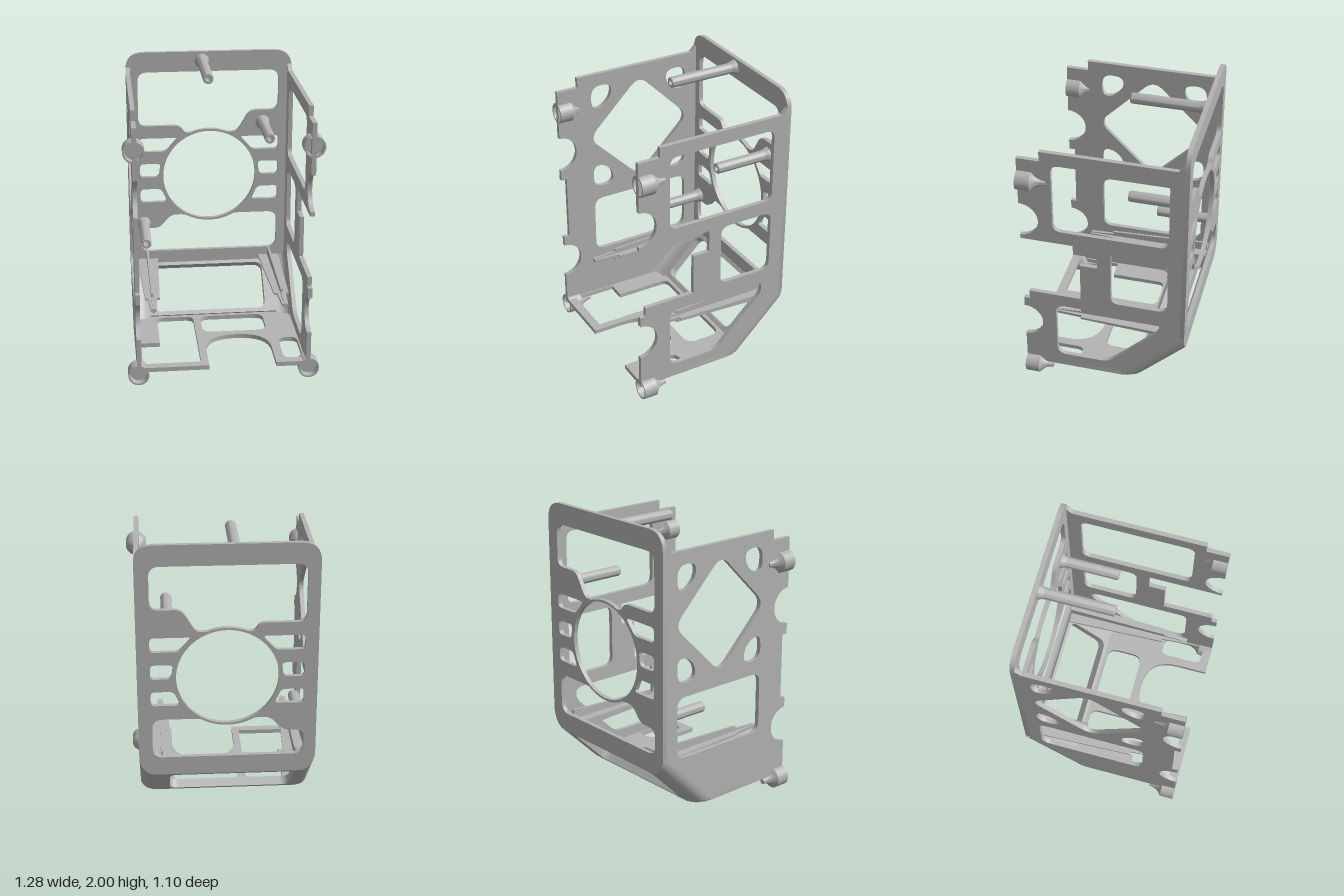
import * as THREE from 'three';
import { toCreasedNormals } from 'three/addons/utils/BufferGeometryUtils.js';

const grey = new THREE.MeshStandardMaterial({ color: 0xb3b3b3, side: THREE.DoubleSide });
grey.name = 'plain grey';

// Points are [x, y, corner length]; corners without a length stay sharp.
function rounded(path, pts) {
  const n = pts.length;
  pts.forEach(([x, y, r = 0], i) => {
    const toward = ([px, py]) => {
      const d = Math.hypot(px - x, py - y) || 1;
      const k = Math.min(r / d, 0.5);
      return [x + (px - x) * k, y + (py - y) * k];
    };
    const a = toward(pts[(i + n - 1) % n]);
    const b = toward(pts[(i + 1) % n]);
    if (i === 0) path.moveTo(...a); else path.lineTo(...a);
    if (r) path.quadraticCurveTo(x, y, ...b);
  });
  path.closePath();
  return path;
}

const arc = (cx, cy, r, from, to, n = 20) => Array.from({ length: n + 1 }, (_, i) => {
  const a = THREE.MathUtils.degToRad(from + (to - from) * i / n);
  return [cx + r * Math.cos(a), cy + r * Math.sin(a)];
});
const rect = (x0, y0, x1, y1, r) => [[x0, y0, r], [x1, y0, r], [x1, y1, r], [x0, y1, r]];

function plate(outline, holes, depth) {
  const shape = rounded(new THREE.Shape(), outline);
  holes.forEach(h => shape.holes.push(rounded(new THREE.Path(), h)));
  return new THREE.ExtrudeGeometry(shape, { depth, bevelEnabled: false, curveSegments: 8 });
}

export function createModel() {
  const model = new THREE.Group();
  const add = (name, geo, x = 0, y = 0, z = 0) => {
    const mesh = new THREE.Mesh(toCreasedNormals(geo, 0.6), grey);
    mesh.name = name;
    mesh.position.set(x, y, z);
    model.add(mesh);
    return mesh;
  };
  const T = 0.03;

  // Back panel with ring opening, vent slots and two windows
  const ringY = 1.095;
  const backHoles = [
    [[-0.5, 1.47, 0.06], [-0.21, 1.47, 0.04], [-0.17, 1.415, 0.02],
      ...arc(0, ringY, 0.345, 112, 68), [0.2, 1.415, 0.05], [0.29, 1.57, 0.05],
      [0.49, 1.57, 0.06], [0.49, 1.86, 0.07], [-0.5, 1.86, 0.07]],
    [[-0.5, 0.52, 0.07], [0.49, 0.52, 0.07], [0.49, 0.8, 0.07], [0.2, 0.8, 0.02],
      ...arc(0, ringY, 0.345, -60, -120), [-0.2, 0.8, 0.02], [-0.28, 0.8, 0.05],
      [-0.36, 0.7, 0.05], [-0.5, 0.7, 0.05]],
    arc(0, ringY, 0.33, 0, 354, 59),
  ];
  for (const [y0, y1] of [[1.28, 1.38], [1.09, 1.19], [0.9, 1.0]]) {
    const edge = y => Math.sqrt(0.36 ** 2 - (y - ringY) ** 2);
    for (const s of [-1, 1]) {
      backHoles.push([[s * 0.495, y0, 0.03], [s * edge(y0), y0, 0.03],
        [s * edge(y1), y1, 0.03], [s * 0.495, y1, 0.03]]);
    }
  }
  add('backPanel', plate([[-0.48, 0.39], [0.48, 0.39], [0.55, 0.43], [0.58, 0.53],
    [0.58, 2, 0.13], [-0.58, 2, 0.13], [-0.58, 0.53], [-0.55, 0.43]], backHoles, T), 0, 0, -0.55);

  // Side panels are drawn in (z, y) and stood up along x
  const lowerFront = [[-0.12, 0.1], [0.55, 0.1], [0.55, 0.34],
    ...arc(0.55, 0.465, 0.125, 270, 90), [0.55, 0.66], [0.51, 0.66]];
  const upperFront = [...arc(0.55, 1.32, 0.125, 270, 90), [0.55, 1.79], [0.4, 1.79],
    [0.4, 1.86], [-0.48, 1.86], [-0.52, 1.9], [-0.52, 0.5]];
  add('leftSidePanel', plate(
    [...lowerFront, [0.51, 0.725], [0.155, 0.725], [0.155, 1.01], [0.04, 1.01],
      [0.04, 1.165], [0.55, 1.165], ...upperFront],
    [rect(-0.43, 1.26, 0.33, 1.77, 0.06), rect(-0.43, 0.73, -0.05, 1.165, 0.06),
      [[0.33, 0.635, 0.06], [-0.38, 0.635, 0.07], [-0.38, 0.55, 0.05],
        [-0.03, 0.2, 0.06], [0.33, 0.2, 0.07]]], T).rotateY(-Math.PI / 2), 0.58);

  const cz = -0.065, cy = 1.385, d = 0.39;
  const cornerHoles = [];
  for (const sz of [-1, 1]) for (const sy of [-1, 1]) {
    const p = (a, b, r) => [cz + sz * a, cy + sy * b, r];
    cornerHoles.push([p(0.215, 0.29, 0.07), p(0.29, 0.22, 0.05), p(0.367, 0.225, 0.07),
      p(0.367, 0.387, 0.08), p(0.215, 0.387, 0.08)]);
  }
  add('rightSidePanel', plate(
    [...lowerFront, [0.51, 1.12], [0.55, 1.12], ...upperFront],
    [[[cz, cy + d, 0.09], [cz + d, cy, 0.09], [cz, cy - d, 0.09], [cz - d, cy, 0.09]],
      ...cornerHoles, rect(-0.43, 0.48, 0.3, 0.9, 0.07)], T).rotateY(-Math.PI / 2), -0.55);

  // Bottom panel is drawn in (x, z)
  add('bottomPanel', plate(
    [[-0.48, -0.26], [0.48, -0.26], [0.55, -0.22], [0.58, -0.12], [0.58, 0.55],
      [0.35, 0.55], [0.35, 0.11, 0.22], [-0.1, 0.11, 0.22], [-0.1, 0.55],
      [-0.58, 0.55], [-0.58, -0.12], [-0.55, -0.22]],
    [[[-0.41, -0.2, 0.05], [-0.15, -0.2, 0.06], [-0.15, 0.49], [-0.54, 0.49, 0.04],
      [-0.54, 0.19], [-0.41, 0.19]],
    rect(-0.1, -0.2, 0.35, 0.055, 0.07),
    rect(0.41, 0.19, 0.54, 0.49, 0.05)], T).rotateX(Math.PI / 2), 0, 0.13);

  // Sloped panel between bottom and back
  const slope = add('slopedPanel', plate(rect(-0.465, 0, 0.465, 0.41),
    [rect(-0.44, 0.03, 0.38, 0.385, 0.06)], 0.06), 0, 0.1, -0.26);
  slope.rotation.x = -Math.PI / 4;

  // Rounded corners of the slope: an L section sheared down the slope, flat at the bottom
  for (const s of [-1, 1]) {
    const outer = arc(0, 0, 1, -90, 0, 10).map(([x, y]) => [s * (0.48 + 0.1 * x), 0.14 + 0.14 * y]);
    const inner = arc(0, 0, 1, 0, -90, 10).map(([x, y]) => [s * (0.48 + 0.07 * x), 0.14 + 0.055 * y]);
    const shape = rounded(new THREE.Shape(), [[s * 0.46, 0], ...outer, ...inner, [s * 0.46, 0.085]]);
    const geo = new THREE.ExtrudeGeometry(shape, { depth: 0.43, steps: 30, bevelEnabled: false });
    geo.translate(0, 0, -0.55);
    const pos = geo.attributes.position;
    for (let i = 0; i < pos.count; i++) {
      pos.setY(i, Math.max(0.1, pos.getY(i) - pos.getZ(i) - 0.16));
    }
    add(s > 0 ? 'leftSlopeCorner' : 'rightSlopeCorner', geo);
  }

  // Tapered guide rails with a cross section
  for (const [side, x] of [['left', 0.43], ['right', -0.455]]) {
    const half = [[0.075, -0.5], [0.05, 0.19], [0.03, 0.19], [0.02, 0.37]];
    const flat = [...half, ...half.map(([a, b]) => [-a, b]).reverse()];
    add(side + 'RailFlange', plate(flat, [], 0.015).rotateX(Math.PI / 2), x, 0.47);
    add(side + 'RailWeb', plate([[-0.45, 0.38], [0.2, 0.415], [0.2, 0.43], [0.37, 0.44],
      [0.37, 0.475], [0.2, 0.485], [0.2, 0.505], [-0.5, 0.535], [-0.5, 0.43]], [], 0.015)
      .rotateY(-Math.PI / 2), x + 0.0075);
  }

  const lathe = pts => new THREE.LatheGeometry(
    pts.map(p => new THREE.Vector2(...p)), 32).rotateX(Math.PI / 2);

  // Standoff posts with flared base and blind screw hole
  for (const [name, x, y, end] of [['topPost', -0.05, 1.935, -0.03],
    ['leftPost', 0.38, 1.48, -0.125], ['rightPost', -0.475, 0.74, -0.125]]) {
    const h = end + 0.53;
    add(name, lathe([[0.05, 0], [0.05, 0.015], [0.041, 0.035], [0.036, 0.06], [0.036, h - 0.006],
      [0.032, h], [0.019, h], [0.019, h - 0.08], [0, h - 0.08]]), x, y, -0.53);
  }

  // Corner cups that taper back into the side panels
  for (const s of [-1, 1]) for (const y of [1.63, 0.075]) {
    add((y > 1 ? 'upper' : 'lower') + (s > 0 ? 'Left' : 'Right') + 'Cup',
      lathe([[0, 0.36], [0.018, 0.365], [0.022, 0.39], [0.034, 0.42], [0.052, 0.44], [0.07, 0.455],
        [0.07, 0.55], [0.058, 0.55], [0.058, 0.5], [0, 0.5]]), s * 0.57, y, 0);
  }
  return model;
}
